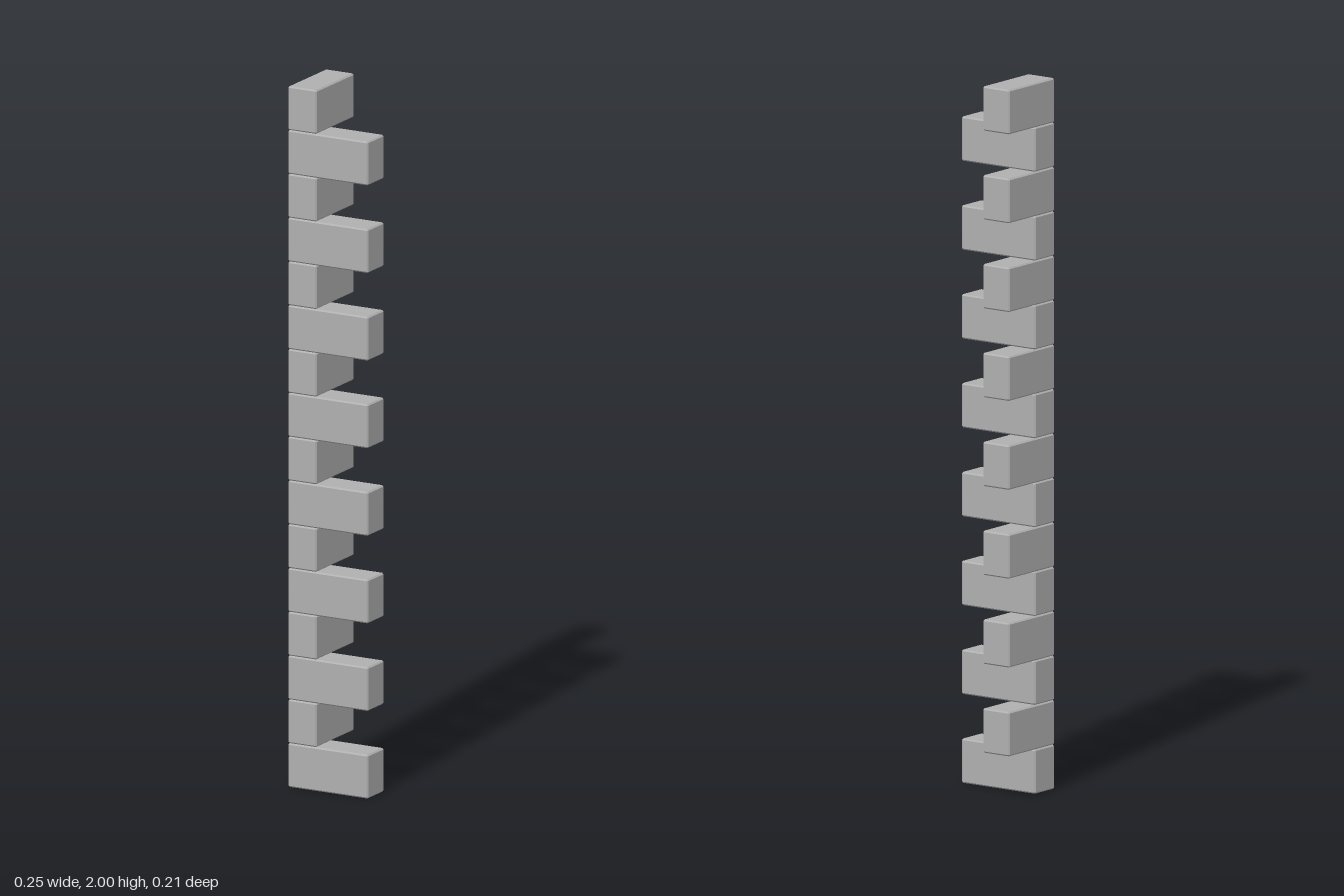
import * as THREE from 'three';
import { ConvexGeometry } from 'three/addons/geometries/ConvexGeometry.js';

// Box with a flat chamfer on every edge
function chamferedBox(w, h, d, b) {
  const points = [];
  for (const sx of [-1, 1]) for (const sy of [-1, 1]) for (const sz of [-1, 1]) {
    for (const [ix, iy, iz] of [[0, b, b], [b, 0, b], [b, b, 0]]) {
      points.push(new THREE.Vector3(sx * (w / 2 - ix), sy * (h / 2 - iy), sz * (d / 2 - iz)));
    }
  }
  return new ConvexGeometry(points);
}

export function createModel() {
  const group = new THREE.Group();
  group.name = 'cornerStones';
  const stone = new THREE.MeshStandardMaterial({ color: 0xb0b0b0 });
  stone.name = 'grey stone';

  const count = 16, height = 2 / count, chamfer = 0.004;
  const width = 0.254, depth = 0.21, thickness = 0.091;
  const frontGeometry = chamferedBox(width, height, thickness, chamfer);
  const sideGeometry = chamferedBox(thickness, height, depth, chamfer);

  // Stones alternate along the two walls and share the front corner
  for (let i = 0; i < count; i++) {
    const alongFront = i % 2 === 0;
    const block = new THREE.Mesh(alongFront ? frontGeometry : sideGeometry, stone);
    block.name = alongFront ? 'frontStone' : 'sideStone';
    block.position.set(
      alongFront ? 0 : (thickness - width) / 2,
      (i + 0.5) * height,
      alongFront ? (depth - thickness) / 2 : 0
    );
    group.add(block);
  }
  return group;
}
